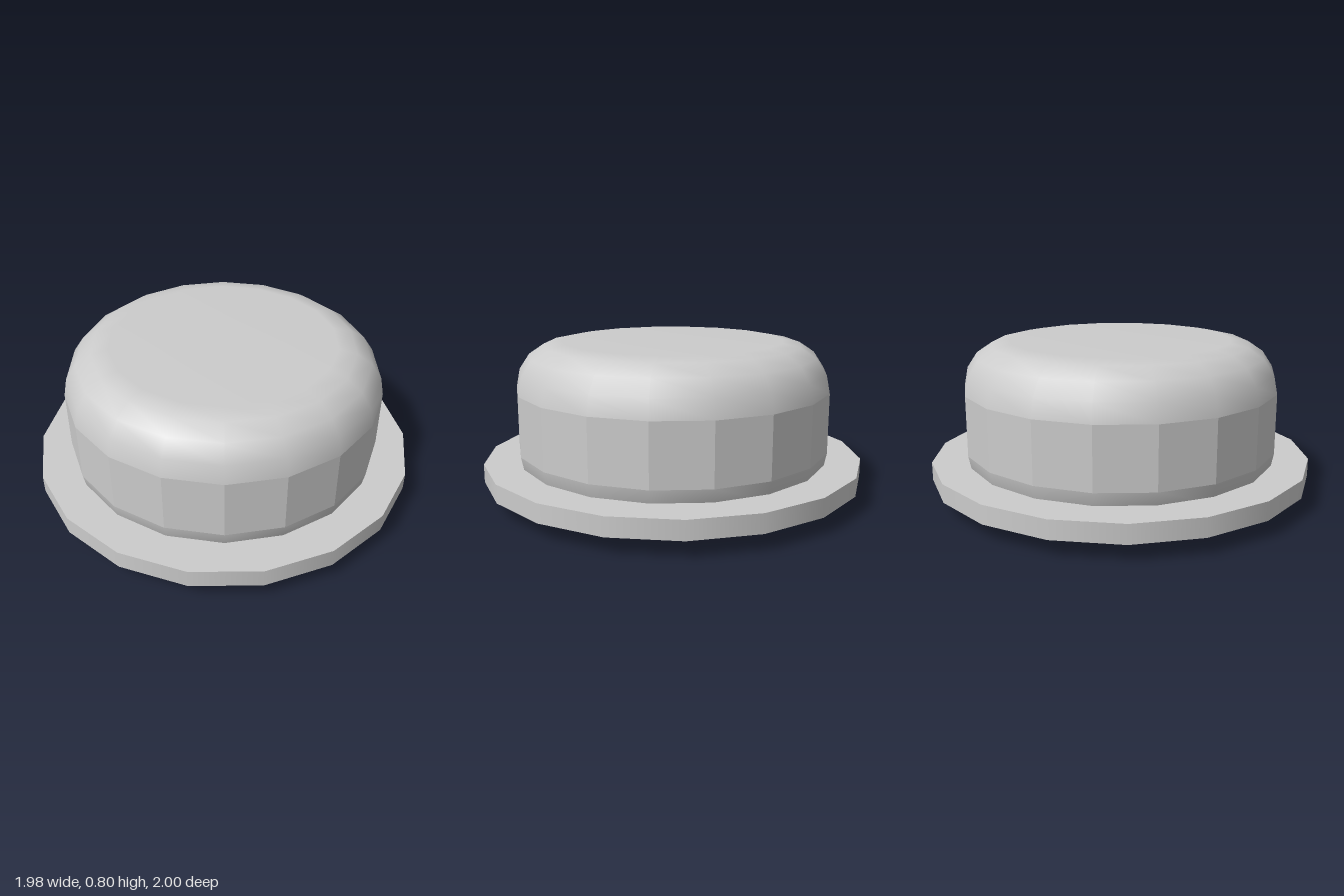
import * as THREE from 'three';

const SIDES = 18;
const rad = THREE.MathUtils.degToRad;
const smooth = new THREE.MeshStandardMaterial({ color: 0xcccccc });
const faceted = new THREE.MeshStandardMaterial({ color: 0xcccccc, flatShading: true });

// One turned strip; profile points run upward on outer faces
function turned(name, points, turn, material) {
  const profile = points.map(([r, y]) => new THREE.Vector2(r, y));
  const mesh = new THREE.Mesh(new THREE.LatheGeometry(profile, SIDES, rad(turn)), material);
  mesh.name = name;
  return mesh;
}

// Quarter-round edge, from the wall inward to the flat face
function roundedEdge(radius, wallY, bevel, direction) {
  const points = [];
  for (let i = 0; i <= 4; i++) {
    const a = (i / 4) * Math.PI / 2;
    points.push([radius - bevel * (1 - Math.cos(a)), wallY + direction * bevel * Math.sin(a)]);
  }
  return points;
}

export function createModel() {
  const model = new THREE.Group();
  model.name = 'flangedButton';

  // Body: faceted wall between smooth, rounded ends
  const body = new THREE.Group();
  body.name = 'body';
  const R = 0.825, H = 0.8, bevel = 0.245, bodyTurn = 12.5;
  const top = [...roundedEdge(R, H - bevel, bevel, 1), [0, H]];
  const bottom = [...roundedEdge(R, bevel, bevel, -1), [0, 0]].reverse();
  body.add(
    turned('domeTop', top, bodyTurn, smooth),
    turned('wall', [[R, bevel], [R, H - bevel]], bodyTurn, faceted),
    turned('domeBottom', bottom, bodyTurn, smooth)
  );

  // Flange: flat ring with crisp edges around the body
  const flange = new THREE.Group();
  flange.name = 'flange';
  const outer = 1, inner = 0.8, y0 = 0.085, y1 = 0.18, flangeTurn = 2.8;
  flange.add(
    turned('flangeRim', [[outer, y0], [outer, y1]], flangeTurn, smooth),
    turned('flangeTop', [[outer, y1], [inner, y1]], flangeTurn, smooth),
    turned('flangeBore', [[inner, y1], [inner, y0]], flangeTurn, smooth),
    turned('flangeUnderside', [[inner, y0], [outer, y0]], flangeTurn, smooth)
  );

  model.add(body, flange);
  return model;
}
